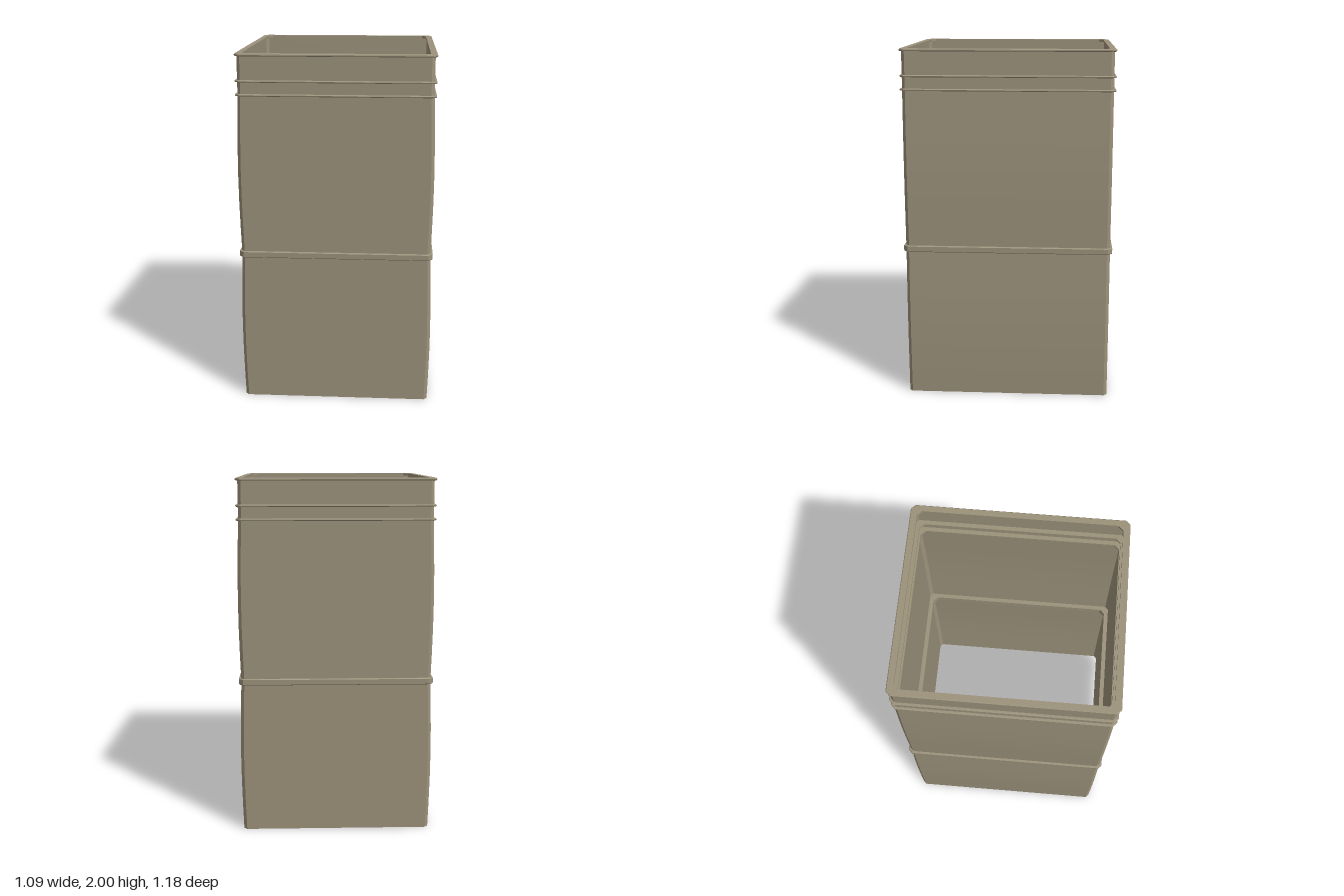
import * as THREE from 'three';

// Octagonal plan of a rectangle with cut corners
function plan(hx, hz, c) {
  return [
    [hx, hz - c], [hx, -hz + c], [hx - c, -hz], [-hx + c, -hz],
    [-hx, -hz + c], [-hx, hz - c], [-hx + c, hz], [hx - c, hz],
  ];
}

// Faceted skin over a stack of plans, each given as { y, points }
function loft(levels, close) {
  const pos = [];
  const n = levels[0].points.length;
  const last = close ? levels.length : levels.length - 1;
  for (let i = 0; i < last; i++) {
    const lo = levels[i], hi = levels[(i + 1) % levels.length];
    for (let j = 0; j < n; j++) {
      const k = (j + 1) % n;
      const at = (l, m) => [l.points[m][0], l.y, l.points[m][1]];
      const a = at(lo, j), b = at(lo, k), c = at(hi, k), d = at(hi, j);
      pos.push(...a, ...b, ...c, ...a, ...c, ...d);
    }
  }
  const g = new THREE.BufferGeometry();
  g.setAttribute('position', new THREE.Float32BufferAttribute(pos, 3));
  g.computeVertexNormals();
  return g;
}

export function createModel() {
  const model = new THREE.Group();
  model.name = 'squareContainer';
  const clay = new THREE.MeshStandardMaterial({ color: 0x9b917a, side: THREE.DoubleSide });
  clay.name = 'drab beige';

  const add = (name, geometry) => {
    const mesh = new THREE.Mesh(geometry, clay);
    mesh.name = name;
    model.add(mesh);
  };

  // Thin wall, open at both ends; the sides swell a little in each section
  const wall = (y0, y1, swell, steps) => {
    const levels = [];
    for (let i = 0; i <= steps; i++) {
      const t = i / steps;
      const hx = 0.532 + swell * Math.sin(Math.PI * t);
      levels.push({ y: y0 + (y1 - y0) * t, points: plan(hx, 0.58, 0.018) });
    }
    return loft(levels, false);
  };
  add('lowerWall', wall(0, 0.875, 0.01, 6));
  add('upperWall', wall(0.875, 1.777, 0.01, 6));
  add('neckWall', wall(1.777, 1.995, 0, 1));

  // Frames that pass through the wall and show inside and out
  const frame = (y0, y1) => {
    const b = 0.004;
    const outer = plan(0.545, 0.592, 0.024);
    const trimmed = plan(0.545 - b, 0.592 - b, 0.022);
    const inner = plan(0.508, 0.555, 0.026);
    return loft([
      { y: y0, points: inner }, { y: y0, points: trimmed }, { y: y0 + b, points: outer },
      { y: y1 - b, points: outer }, { y: y1, points: trimmed }, { y: y1, points: inner },
    ], true);
  };
  add('middleBand', frame(0.857, 0.893));
  add('lowerNeckRib', frame(1.771, 1.783));
  add('upperNeckRib', frame(1.846, 1.858));
  add('rim', frame(1.986, 2));

  return model;
}
